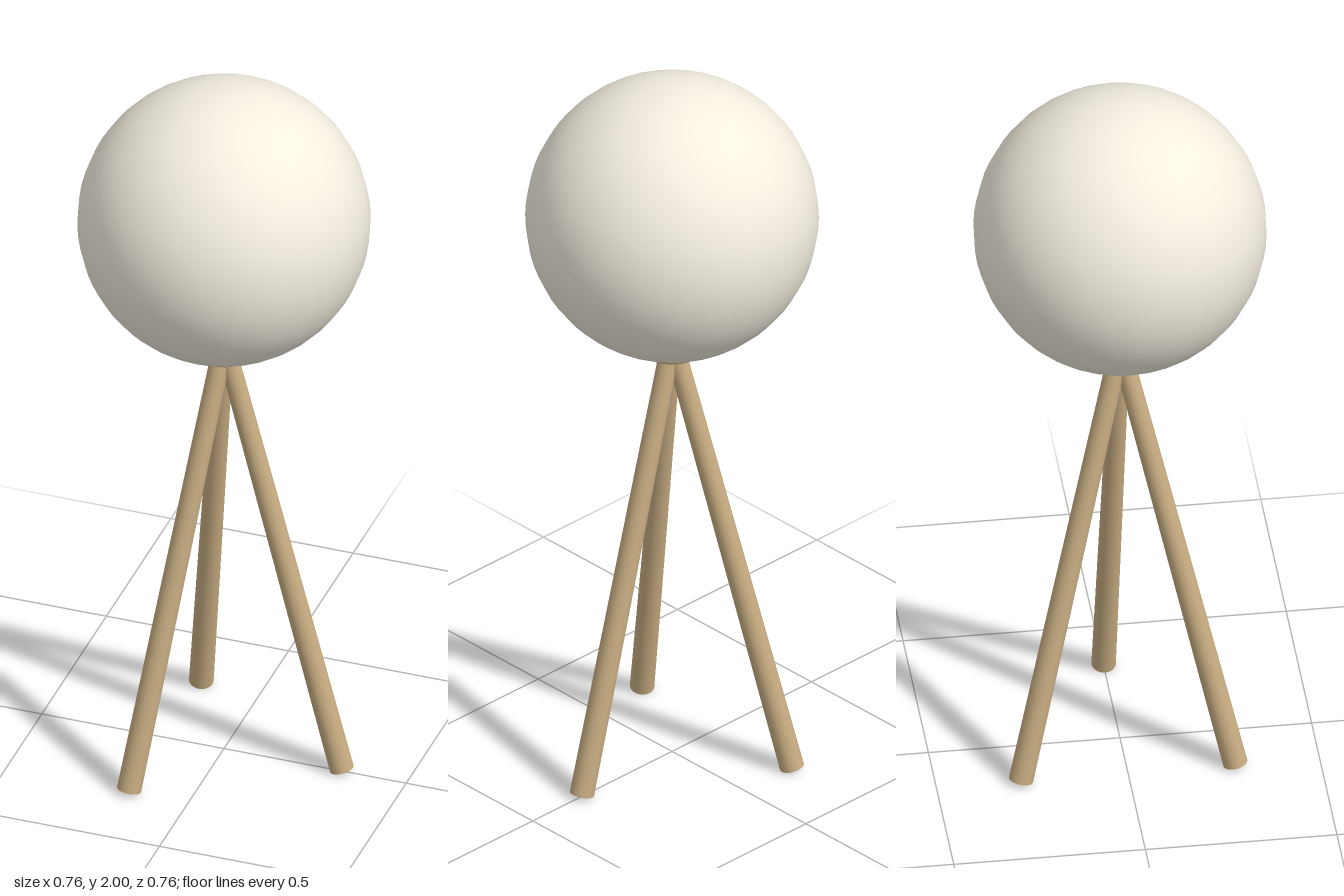
import * as THREE from 'three';

const UP = new THREE.Vector3(0, 1, 0);

export function createModel() {
  const model = new THREE.Group();
  model.name = 'tripodGlobeLamp';
  const shadeMaterial = new THREE.MeshStandardMaterial({ color: 0xf3eee0 });
  const woodMaterial = new THREE.MeshStandardMaterial({ color: 0xc8ad82 });

  const add = (name, geometry, material) => {
    const mesh = new THREE.Mesh(geometry, material);
    mesh.name = name;
    model.add(mesh);
    return mesh;
  };

  // Globe shade
  add('globeShade', new THREE.SphereGeometry(0.38, 32, 32), shadeMaterial).position.y = 1.62;

  // Ring cradling the globe
  const ring = add('supportRing', new THREE.TorusGeometry(0.08, 0.015, 16, 32), woodMaterial);
  ring.rotation.x = Math.PI / 2;
  ring.position.y = 1.237;

  // Three splayed legs, slightly tapered, meeting just under the globe
  const top = new THREE.Vector3(0, 1.25, 0);
  for (let i = 0; i < 3; i++) {
    const angle = (i * Math.PI * 2) / 3;
    const foot = new THREE.Vector3(Math.cos(angle) * 0.323, 0.008, Math.sin(angle) * 0.323);
    const axis = top.clone().sub(foot);
    const leg = add('leg' + (i + 1), new THREE.CylinderGeometry(0.026, 0.032, axis.length(), 20), woodMaterial);
    leg.position.copy(foot).add(top).multiplyScalar(0.5);
    leg.quaternion.setFromUnitVectors(UP, axis.normalize());
  }

  return model;
}
